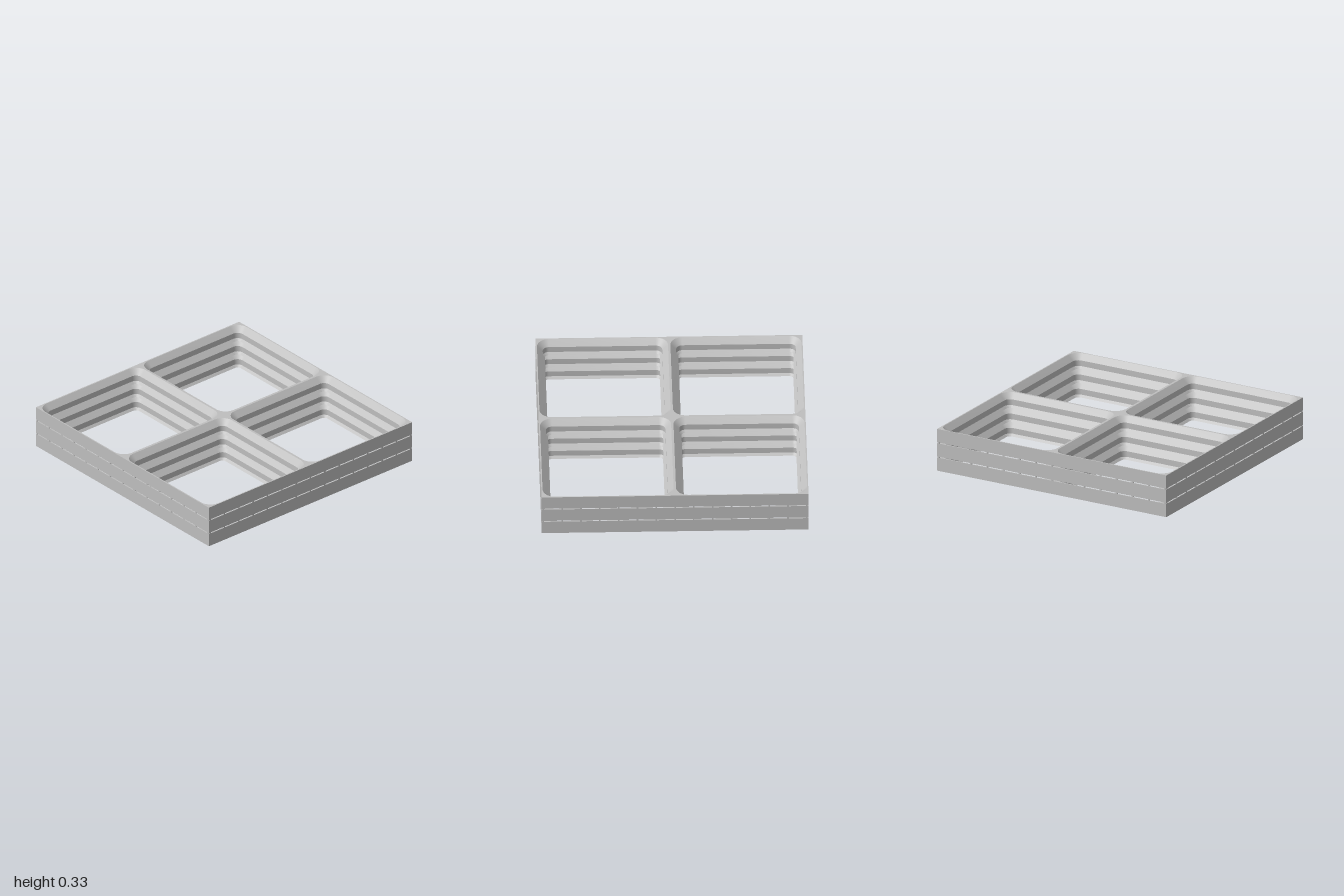
import * as THREE from 'three';
import { mergeGeometries, toCreasedNormals } from 'three/addons/utils/BufferGeometryUtils.js';

const HEIGHT = 0.105, PITCH = 0.1135, STEPS = 8;

// Counter-clockwise rounded square as a ring of 2D points
function ring(cx, cy, half, radius) {
  const pts = [];
  for (let c = 0; c < 4; c++) {
    const mid = Math.PI / 4 + c * Math.PI / 2;
    const ox = cx + Math.sign(Math.cos(mid)) * (half - radius);
    const oy = cy + Math.sign(Math.sin(mid)) * (half - radius);
    for (let i = 0; i <= STEPS; i++) {
      const a = (c + i / STEPS) * Math.PI / 2;
      pts.push(new THREE.Vector2(ox + radius * Math.cos(a), oy + radius * Math.sin(a)));
    }
  }
  return pts;
}

const square = () => [[-1, -1], [1, -1], [1, 1], [-1, 1]].map(([x, y]) => new THREE.Vector2(x, y));

// Wall strip between two equal rings at heights z0 and z1
function wall(lower, z0, upper, z1, inward) {
  const pos = [];
  const n = lower.length;
  for (let i = 0; i < n; i++) {
    const j = (i + 1) % n;
    const a = [lower[i].x, lower[i].y, z0], b = [lower[j].x, lower[j].y, z0];
    const c = [upper[j].x, upper[j].y, z1], d = [upper[i].x, upper[i].y, z1];
    pos.push(...(inward ? [a, d, c, a, c, b] : [a, b, c, a, c, d]).flat());
  }
  const g = new THREE.BufferGeometry();
  g.setAttribute('position', new THREE.Float32BufferAttribute(pos, 3));
  return g;
}

// Flat face of the plate with four openings
function face(holes, z, down) {
  const shape = new THREE.Shape(square());
  holes.forEach((h) => shape.holes.push(new THREE.Path(h)));
  const g = new THREE.ShapeGeometry(shape).toNonIndexed();
  g.deleteAttribute('uv');
  g.deleteAttribute('normal');
  if (down) g.rotateX(Math.PI); // symmetric outline, so flipping only turns the face
  g.translate(0, 0, z);
  return g;
}

// One grid plate: stepped, chamfered pockets in a square block
function plateGeometry() {
  const profile = [[0, 0.431, 0.031], [0.017, 0.448, 0.048], [0.062, 0.448, 0.048], [HEIGHT, 0.491, 0.091]];
  const parts = [wall(square(), 0, square(), HEIGHT, false)];
  const levels = profile.map(([, half, r]) =>
    [[-0.5, -0.5], [0.5, -0.5], [0.5, 0.5], [-0.5, 0.5]].map(([x, y]) => ring(x, y, half, r)));
  for (let k = 0; k < 3; k++) {
    for (let c = 0; c < 4; c++) {
      parts.push(wall(levels[k][c], profile[k][0], levels[k + 1][c], profile[k + 1][0], true));
    }
  }
  parts.push(face(levels[0], 0, true), face(levels[3], HEIGHT, false));
  const g = mergeGeometries(parts);
  g.rotateX(-Math.PI / 2);
  return toCreasedNormals(g, 0.5);
}

export function createModel() {
  const model = new THREE.Group();
  model.name = 'stackedGridPlates';
  const grey = new THREE.MeshStandardMaterial({ color: 0xbfbfbf });
  grey.name = 'grey';

  // Three identical plates with thin gaps
  const plate = plateGeometry();
  ['lowerPlate', 'middlePlate', 'upperPlate'].forEach((name, i) => {
    const mesh = new THREE.Mesh(plate, grey);
    mesh.name = name;
    mesh.position.y = i * PITCH;
    model.add(mesh);
  });

  // Small spacer posts along the ridges in each gap
  const gap = PITCH - HEIGHT;
  for (let level = 0; level < 2; level++) {
    const posts = [];
    const y = HEIGHT + gap / 2 + level * PITCH;
    for (const line of [-0.994, 0, 0.994]) {
      for (let i = -7; i <= 7; i++) {
        const along = i * 0.141;
        posts.push(new THREE.BoxGeometry(0.012, gap, 0.012).translate(along, y, line));
        posts.push(new THREE.BoxGeometry(0.012, gap, 0.012).translate(line, y, along));
      }
    }
    const mesh = new THREE.Mesh(mergeGeometries(posts), grey);
    mesh.name = level ? 'upperSpacers' : 'lowerSpacers';
    model.add(mesh);
  }
  return model;
}
